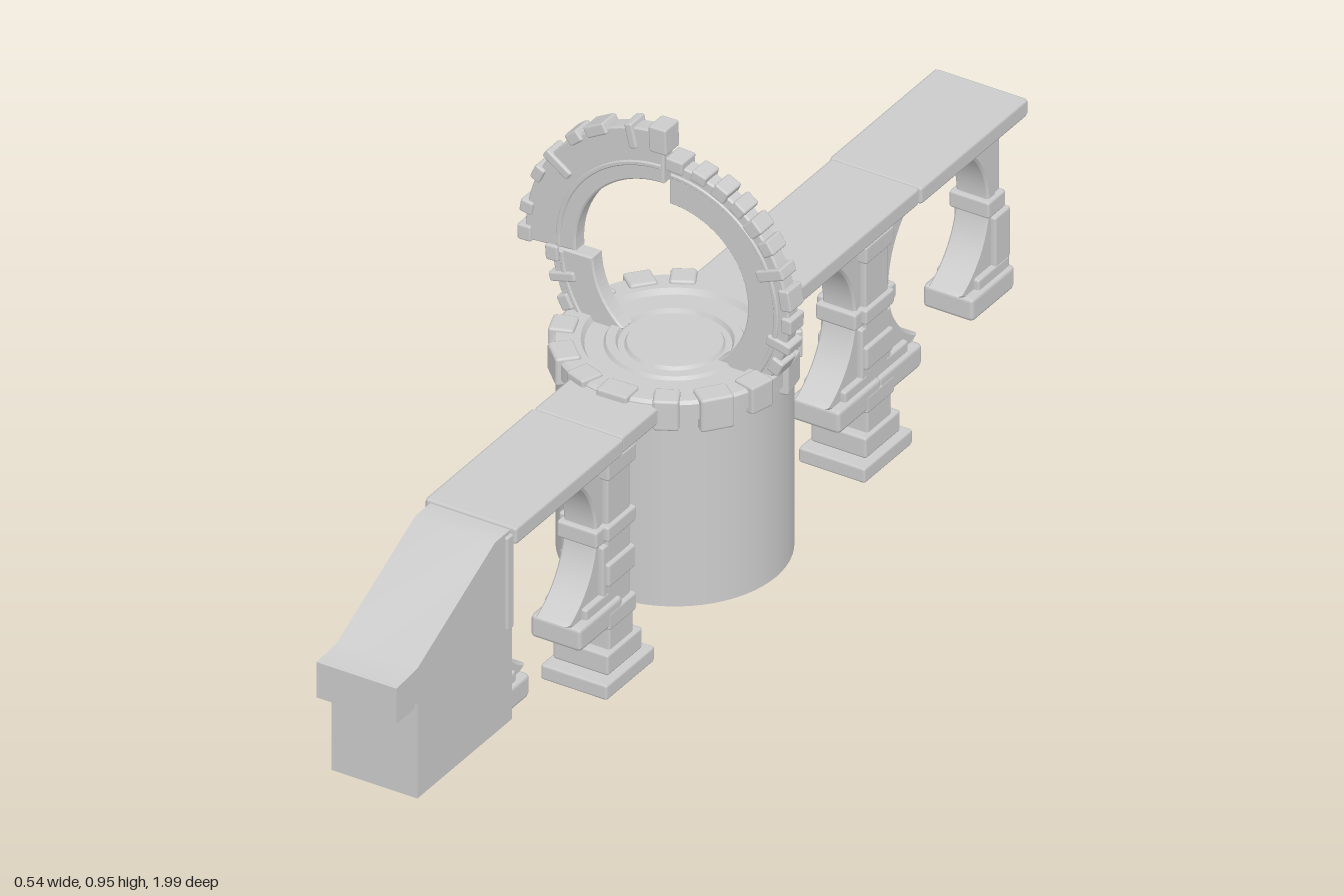
import * as THREE from 'three';
import { toCreasedNormals } from 'three/addons/utils/BufferGeometryUtils.js';
import { RoundedBoxGeometry } from 'three/addons/geometries/RoundedBoxGeometry.js';

const CX = 0.028; // shared centre line of drum and bridge
const DEG = Math.PI / 180;
const stone = new THREE.MeshStandardMaterial({ color: 0xcccccc });
const openStone = new THREE.MeshStandardMaterial({ color: 0xcccccc, side: THREE.DoubleSide });

function add(parent, name, geometry, material = stone) {
  const mesh = new THREE.Mesh(geometry, material);
  mesh.name = name;
  parent.add(mesh);
  return mesh;
}

function group(parent, name) {
  const g = new THREE.Group();
  g.name = name;
  parent.add(g);
  return g;
}

// Softened block given by its extents
function block(parent, name, x0, x1, y0, y1, z0, z1, r = 0.005) {
  const mesh = add(parent, name, new RoundedBoxGeometry(x1 - x0, y1 - y0, z1 - z0, 1, r));
  mesh.position.set((x0 + x1) / 2, (y0 + y1) / 2, (z0 + z1) / 2);
  return mesh;
}

// Block centred across the bridge
const span = (parent, name, width, y0, y1, z0, z1, r) =>
  block(parent, name, CX - width / 2, CX + width / 2, y0, y1, Math.min(z0, z1), Math.max(z0, z1), r);

// Extrude a (z, y) outline across the bridge
function crossExtrude(shape, width, bevel = 0) {
  const g = new THREE.ExtrudeGeometry(shape, {
    depth: width - 2 * bevel, curveSegments: 32, bevelEnabled: bevel > 0,
    bevelSize: bevel, bevelThickness: bevel, bevelOffset: -bevel, bevelSegments: 1,
  });
  g.translate(0, 0, -width / 2 + bevel);
  g.rotateY(-Math.PI / 2);
  g.translate(CX, 0, 0);
  return toCreasedNormals(g, 0.5);
}

// Flat ring segment between two radii and two angles, centred on z = 0
function ringSegment(r0, r1, a0, a1, depth, bevel) {
  const s = new THREE.Shape();
  s.absarc(0, 0, r1, a0 * DEG, a1 * DEG, false);
  s.absarc(0, 0, r0, a1 * DEG, a0 * DEG, true);
  s.closePath();
  const g = new THREE.ExtrudeGeometry(s, {
    depth: depth - 2 * bevel, curveSegments: 32, bevelSize: bevel,
    bevelThickness: bevel, bevelOffset: -bevel, bevelSegments: 1,
  });
  g.translate(0, 0, -depth / 2 + bevel);
  return toCreasedNormals(g, 0.5);
}

// Broken ring piece with raised moulding and edge blocks [angle, width, inner r, outer r]
function ringPiece(parent, name, x, y, r0, r1, a0, a1, moulding, blocks) {
  const g = group(parent, name);
  g.position.set(x, y, 0);
  add(g, 'ringBody', ringSegment(r0, r1, a0, a1, 0.032, 0.003));
  add(g, 'ringMoulding', ringSegment(moulding, moulding + 0.009, a0 + 1, a1 - 1, 0.039, 0.002));
  for (const [a, w, b0, b1] of blocks) {
    const m = add(g, 'ringBlock', new RoundedBoxGeometry(b1 - b0, w, 0.044, 1, 0.004));
    const r = (b0 + b1) / 2;
    m.position.set(r * Math.cos(a * DEG), r * Math.sin(a * DEG), 0);
    m.rotation.z = a * DEG;
  }
}

function drum(parent) {
  const g = group(parent, 'drum');
  g.position.x = CX;
  const wall = add(g, 'drumWall', new THREE.CylinderGeometry(0.2, 0.2, 0.38, 64, 1, true), openStone);
  wall.position.y = 0.312;
  // Stepped platform: centre disc, inner ring, recess and raised rim
  const profile = [[0.2, 0.49], [0.206, 0.493], [0.206, 0.523], [0.2, 0.528], [0.158, 0.528], [0.152, 0.518],
    [0.12, 0.518], [0.116, 0.524], [0.1, 0.524], [0.096, 0.516], [0.085, 0.516], [0.081, 0.522], [0, 0.522]];
  const top = new THREE.LatheGeometry(profile.map(p => new THREE.Vector2(...p)), 64);
  add(g, 'platform', toCreasedNormals(top, 0.5), openStone);
  // Clamps gripping the rim
  for (const [a, w, drop] of [[12, 0.06, 0.475], [42, 0.05, 0.48], [62, 0.045, 0.47], [118, 0.045, 0.47],
    [140, 0.05, 0.485], [168, 0.07, 0.465], [200, 0.05, 0.475], [226, 0.06, 0.48], [250, 0.045, 0.47],
    [272, 0.06, 0.47], [298, 0.045, 0.475], [322, 0.06, 0.47], [346, 0.05, 0.48]]) {
    const h = 0.534 - drop;
    const m = add(g, 'rimClamp', new RoundedBoxGeometry(0.045, h, w, 1, 0.005));
    m.position.set(0.191 * Math.cos(a * DEG), drop + h / 2, -0.191 * Math.sin(a * DEG));
    m.rotation.y = a * DEG;
  }
}

// Round-headed arch whose legs sweep inward to the feet
function arch(parent, zc) {
  const g = group(parent, 'arch');
  const R = 0.155, yc = 0.312, yb = 0.16, out = 0.18;
  const a = Math.acos((yb - yc) / R) - Math.PI / 2 - 0.24;
  const s = new THREE.Shape();
  s.moveTo(zc - out, 0.488);
  s.lineTo(zc - out, yb);
  s.lineTo(zc - 0.085, yb);
  s.absarc(zc, yc, R, Math.PI + a, -a, true);
  s.lineTo(zc + 0.085, yb);
  s.lineTo(zc + out, yb);
  s.lineTo(zc + out, 0.488);
  s.closePath();
  add(g, 'archBody', crossExtrude(s, 0.065, 0.004));
  for (const d of [-1, 1]) {
    span(g, 'archFoot', 0.1, 0.12, 0.165, zc + d * 0.078, zc + d * 0.213, 0.008);
    span(g, 'archFootStep', 0.085, 0.16, 0.185, zc + d * 0.11, zc + d * 0.208);
    span(g, 'legBlock', 0.084, 0.18, 0.28, zc + d * 0.163, zc + d * 0.212);
    span(g, 'legBand', 0.08, 0.285, 0.318, zc + d * 0.145, zc + d * 0.2);
    span(g, 'legShaft', 0.058, 0.31, 0.488, zc + d * 0.165, zc + d * 0.198);
    span(g, 'legCapital', 0.08, 0.462, 0.49, zc + d * 0.15, zc + d * 0.21);
  }
}

function column(parent, zc) {
  const g = group(parent, 'column');
  // [width in x, depth in z, bottom, top]
  for (const [w, d, y0, y1] of [[0.132, 0.152, 0, 0.03], [0.11, 0.11, 0.034, 0.075], [0.095, 0.075, 0.03, 0.13],
    [0.085, 0.072, 0.12, 0.48], [0.102, 0.088, 0.115, 0.15], [0.1, 0.085, 0.2, 0.245],
    [0.1, 0.09, 0.29, 0.32], [0.1, 0.09, 0.41, 0.445], [0.125, 0.12, 0.465, 0.492]])
    span(g, 'columnStone', w, y0, y1, zc - d / 2, zc + d / 2);
}

function endHouse(parent) {
  const g = group(parent, 'endRamp');
  // Hollow base, open underneath
  const base = new THREE.CylinderGeometry(Math.SQRT1_2, Math.SQRT1_2, 1, 4, 1, true, Math.PI / 4).toNonIndexed();
  base.computeVertexNormals();
  const walls = add(g, 'rampBase', base, openStone);
  walls.scale.set(0.17, 0.185, 0.298);
  walls.position.set(CX, 0.238, 0.795);
  // Sloping top with a front lip
  const s = new THREE.Shape([[0.642, 0.32], [1, 0.32], [1, 0.39], [0.935, 0.395], [0.69, 0.515], [0.642, 0.515]]
    .map(p => new THREE.Vector2(...p)));
  add(g, 'rampTop', crossExtrude(s, 0.158));
  span(g, 'rampBackWall', 0.17, 0.325, 0.508, 0.64, 0.66, 0.003);
}

export function createModel() {
  const model = new THREE.Group();
  model.name = 'bridgeWithRing';

  drum(model);

  const ring = group(model, 'brokenRing');
  ringPiece(ring, 'upperLeftRing', 0.015, 0.66, 0.175, 0.274, 90, 185, 0.203, [
    [92, 0.035, 0.235, 0.285], [104, 0.016, 0.235, 0.283], [119, 0.045, 0.262, 0.284], [130, 0.03, 0.262, 0.285],
    [145, 0.018, 0.225, 0.284], [155, 0.03, 0.262, 0.283], [171, 0.025, 0.26, 0.285], [182, 0.03, 0.26, 0.287]]);
  ringPiece(ring, 'rightRing', 0.026, 0.645, 0.155, 0.236, -52, 90, 0.208, [
    [87, 0.035, 0.222, 0.248], [75, 0.03, 0.224, 0.245], [64, 0.03, 0.22, 0.247], [54, 0.028, 0.222, 0.246],
    [44, 0.03, 0.218, 0.247], [34, 0.028, 0.222, 0.246], [22, 0.022, 0.19, 0.245], [10, 0.04, 0.224, 0.246],
    [-2, 0.03, 0.224, 0.245], [-13, 0.02, 0.2, 0.248], [-24, 0.03, 0.22, 0.245]]);
  ringPiece(ring, 'lowerLeftRing', 0.03, 0.645, 0.155, 0.236, 181, 232, 0.212, [
    [184, 0.03, 0.222, 0.247], [195, 0.018, 0.195, 0.247], [207, 0.03, 0.222, 0.245]]);

  // Deck slabs
  for (const [z0, z1, w] of [[0.303, 0.643, 0.182], [0.165, 0.305, 0.176], [-0.63, -0.165, 0.176], [-0.965, -0.628, 0.184]])
    span(model, 'deckSlab', w, 0.487, 0.521, z0, z1, 0.006);

  for (const z of [0.455, -0.358, -0.777]) arch(model, z);
  for (const z of [0.243, -0.567]) column(model, z);
  endHouse(model);

  return model;
}
